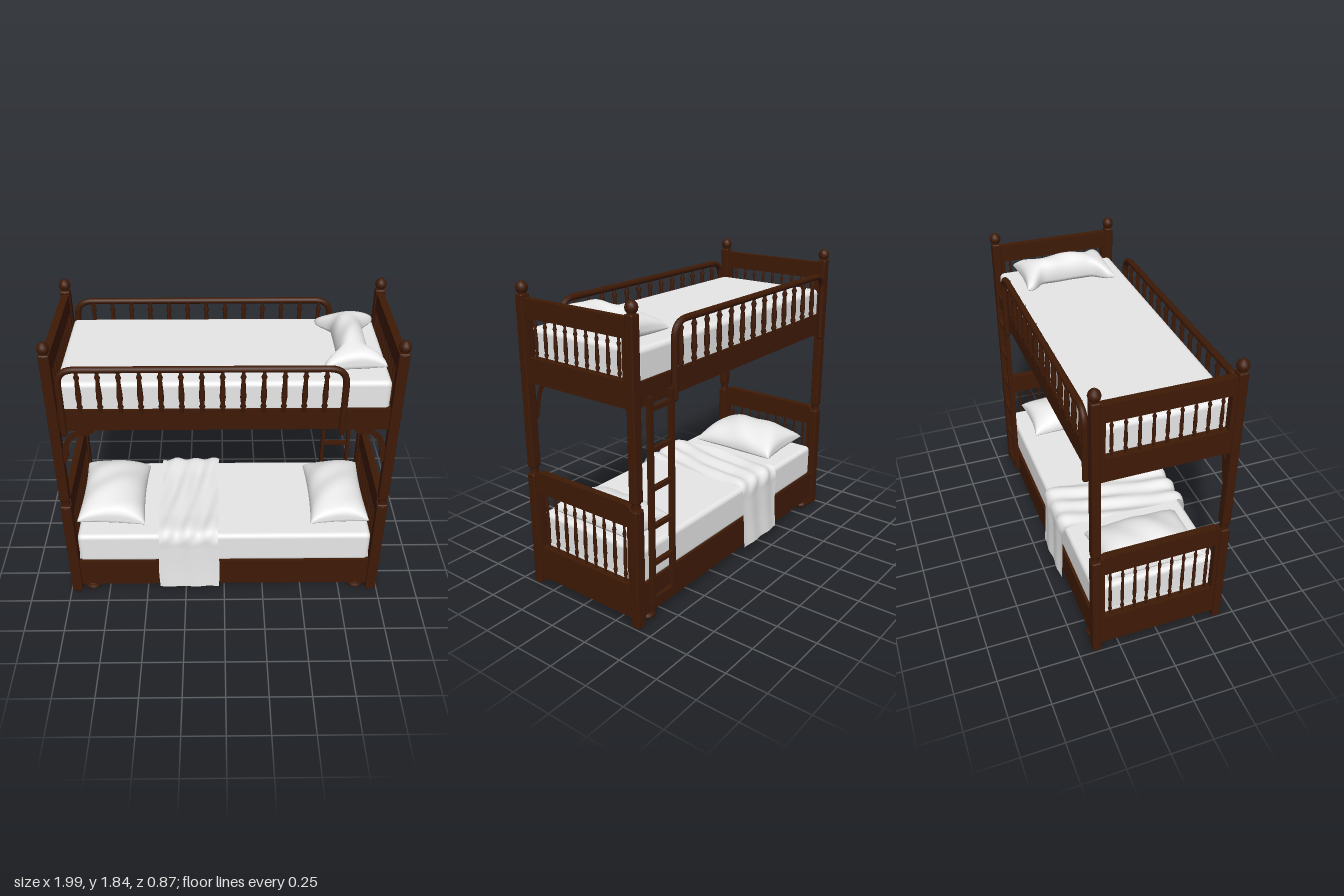
import * as THREE from 'three';
import { RoundedBoxGeometry } from 'three/addons/geometries/RoundedBoxGeometry.js';

const V = (x, y, z) => new THREE.Vector3(x, y, z);

export function createModel() {
  const root = new THREE.Group();
  const wood = new THREE.MeshStandardMaterial({ color: 0x3f1a06 });
  wood.name = 'dark wood';
  const linen = new THREE.MeshStandardMaterial({ color: 0xf2f2f2, side: THREE.DoubleSide });
  linen.name = 'white linen';
  const panel = new THREE.MeshStandardMaterial({ color: 0x5c4a49 });
  panel.name = 'bed base panel';

  const add = (name, geo, mat, x = 0, y = 0, z = 0, parent = root) => {
    const m = new THREE.Mesh(geo, mat);
    m.name = name;
    m.position.set(x, y, z);
    parent.add(m);
    return m;
  };
  const box = (name, mat, x0, x1, y0, y1, z0, z1) =>
    add(name, new THREE.BoxGeometry(x1 - x0, y1 - y0, z1 - z0), mat, (x0 + x1) / 2, (y0 + y1) / 2, (z0 + z1) / 2);
  const lathe = (pts, seg = 12) => new THREE.LatheGeometry(pts.map(([r, y]) => new THREE.Vector2(r, y)), seg);

  // Turned spindle of a given height and thickness
  const spindle = (h, r) => lathe([[0.6, 0], [0.6, 0.08], [1, 0.14], [0.65, 0.2], [0.95, 0.35], [0.85, 0.5],
    [0.6, 0.75], [0.95, 0.82], [0.55, 0.88], [0.6, 1]].map(([a, b]) => [a * r, b * h]), 8);

  // Corner posts: square shafts, turned neck, ball finial
  const neck = lathe([[0.03, 0], [0.03, 0.01], [0.021, 0.02], [0.027, 0.035], [0.021, 0.05], [0.03, 0.065], [0.03, 0.08]], 16);
  const finial = lathe([[0.028, 0], [0.02, 0.01], [0.031, 0.026], [0.035, 0.042], [0.029, 0.062], [0.016, 0.075], [0.001, 0.08]], 16);
  const bun = lathe([[0.001, 0], [0.035, 0], [0.05, 0.015], [0.05, 0.03], [0.035, 0.042], [0.042, 0.055], [0.001, 0.055]], 16);
  for (const sx of [-1, 1]) for (const sz of [-1, 1]) {
    const post = new THREE.Group();
    post.name = 'cornerPost';
    post.position.set(sx * 0.96, 0, sz * 0.388);
    root.add(post);
    add('lowerShaft', new RoundedBoxGeometry(0.066, 0.72, 0.054, 2, 0.008), wood, 0, 0.36, 0, post);
    add('neck', neck, wood, 0, 0.7, 0, post);
    add('upperShaft', new RoundedBoxGeometry(0.06, 1.01, 0.052, 2, 0.008), wood, 0, 1.265, 0, post);
    add('finial', finial, wood, 0, 1.76, 0, post);
    add('bunFoot', bun, wood, sx * 0.86, 0, sz * 0.362);
  }

  // End boards with spindle windows
  const endBoard = (name, x, y0, y1, w0, w1, chamfer, r) => {
    const s = new THREE.Shape();
    s.moveTo(-0.38, y0);
    s.lineTo(0.38, y0);
    s.lineTo(0.38, y1 - chamfer);
    s.lineTo(0.38 - chamfer * 2, y1);
    s.lineTo(-0.38 + chamfer * 2, y1);
    s.lineTo(-0.38, y1 - chamfer);
    s.closePath();
    const h = new THREE.Path();
    h.moveTo(-0.338, w0);
    h.lineTo(-0.338, w1);
    h.lineTo(0.338, w1);
    h.lineTo(0.338, w0);
    h.closePath();
    s.holes.push(h);
    const g = new THREE.ExtrudeGeometry(s, { depth: 0.044, bevelEnabled: false });
    g.translate(0, 0, -0.022);
    g.rotateY(Math.PI / 2);
    add(name, g, wood, x);
    const sp = spindle(w1 - w0 + 0.01, r);
    for (let i = 0; i < 9; i++) add('endSpindle', sp, wood, x, w0 - 0.005, -0.3 + i * 0.075);
  };
  for (const sx of [-1, 1]) {
    endBoard('lowerEndBoard', sx * 0.96, 0.05, 0.74, 0.255, 0.61, 0.025, 0.012);
    endBoard('upperEndBoard', sx * 0.96, 1.28, 1.75, 1.425, 1.645, 0, 0.012);
  }

  // Side rails
  for (const sz of [-1, 1]) {
    const a = sz * 0.37, b = sz * 0.4;
    box('lowerSideRail', wood, -0.94, 0.94, 0.05, 0.25, Math.min(a, b), Math.max(a, b));
    box('upperSideRail', wood, -0.94, 0.94, 1.28, 1.415, Math.min(a, b), Math.max(a, b));
  }

  // Mattresses
  const mattress = (name, y0, y1) =>
    add(name, new RoundedBoxGeometry(1.85, y1 - y0, 0.772, 4, 0.03), linen, 0, (y0 + y1) / 2, 0);
  mattress('lowerMattress', 0.235, 0.452);
  mattress('upperMattress', 1.39, 1.58);
  box('lowerBaseFilling', linen, -0.93, 0.93, 0.1, 0.26, -0.36, 0.36);
  box('upperBasePanel', panel, -0.94, 0.94, 1.35, 1.395, -0.37, 0.37);

  // Crossed slats under both beds
  for (const [y, n, w] of [[0.078, 18, 0.034], [1.338, 14, 0.012]]) {
    for (let i = 0; i < n; i++) {
      const x = -0.88 + i * 1.76 / (n - 1);
      box('crossSlat', wood, x - w / 2, x + w / 2, y, y + 0.014, -0.375, 0.375);
    }
    for (let i = 0; i < 7; i++) {
      const z = -0.33 + i * 0.11;
      box('longSlat', wood, -0.94, 0.94, y + 0.006, y + 0.022, z - w / 2, z + w / 2);
    }
  }

  // Guard rails: bent rail over turned spindles
  const guardSpindle = spindle(0.28, 0.018);
  for (const z of [0.405, -0.418]) {
    const path = new THREE.CurvePath();
    const L = -0.905, R = 0.665, T = 1.68, B = 1.265, c = 0.1;
    path.add(new THREE.LineCurve3(V(L, B, z), V(L, T - c, z)));
    path.add(new THREE.QuadraticBezierCurve3(V(L, T - c, z), V(L, T, z), V(L + c, T, z)));
    path.add(new THREE.LineCurve3(V(L + c, T, z), V(R - c, T, z)));
    path.add(new THREE.QuadraticBezierCurve3(V(R - c, T, z), V(R, T, z), V(R, T - c, z)));
    path.add(new THREE.LineCurve3(V(R, T - c, z), V(R, B, z)));
    add('guardRail', new THREE.TubeGeometry(path, 120, 0.019, 10), wood);
    for (const x of [L, R]) add('guardRailEnd', new THREE.SphereGeometry(0.019, 10, 8), wood, x, B, z);
    const step = z > 0 ? 0.113 : 0.116;
    for (let i = 0; i < 13; i++)
      add('guardSpindle', guardSpindle, wood, -0.8 + i * step, 1.4, Math.sign(z) * 0.402);
  }

  // Ladder on the back
  for (const x of [0.695, 0.87]) box('ladderUpright', wood, x - 0.011, x + 0.011, 0.11, 1.33, -0.432, -0.4);
  for (let i = 0; i < 6; i++)
    box('ladderRung', wood, 0.695, 0.87, 0.123 + i * 0.225, 0.147 + i * 0.225, -0.43, -0.404);

  // Curved brackets under the front rail
  for (const sx of [-1, 1]) {
    const s = new THREE.Shape();
    s.moveTo(0.935, 1.29);
    s.lineTo(0.935, 1.04);
    s.bezierCurveTo(0.9, 1.05, 0.905, 1.1, 0.895, 1.14);
    s.bezierCurveTo(0.88, 1.22, 0.85, 1.225, 0.83, 1.245);
    s.bezierCurveTo(0.8, 1.235, 0.74, 1.24, 0.73, 1.29);
    s.closePath();
    const h = new THREE.Path();
    h.moveTo(0.93, 1.14);
    h.quadraticCurveTo(0.91, 1.25, 0.84, 1.275);
    h.lineTo(0.93, 1.275);
    h.closePath();
    s.holes.push(h);
    const g = new THREE.ExtrudeGeometry(s, { depth: 0.03, bevelEnabled: false, curveSegments: 10 });
    if (sx < 0) g.rotateY(Math.PI);
    add('frontBracket', g, wood, 0, 0, sx < 0 ? 0.4 : 0.37);
  }

  // Pillows: two domed sheets meeting in a seam; waist narrows the middle
  const pillow = (name, x, y, w, d, up, down, tilt, waist) => {
    const group = new THREE.Group();
    group.name = name;
    group.position.set(x, y, 0);
    group.rotation.z = tilt;
    root.add(group);
    for (const sgn of [1, -1]) {
      const g = new THREE.PlaneGeometry(2, 2, 32, 32);
      g.rotateX(-sgn * Math.PI / 2);
      const p = g.attributes.position;
      for (let i = 0; i < p.count; i++) {
        const s = Math.sin(p.getX(i) * Math.PI / 2), t = Math.sin(p.getZ(i) * Math.PI / 2);
        const k = 1 - waist * (1 - THREE.MathUtils.smoothstep(Math.abs(t), 0.52, 0.88));
        const dome = Math.pow(Math.max(0, 1 - s * s), 0.5) * Math.pow(Math.max(0, 1 - t * t), 0.32);
        const crease = 1 + 0.05 * Math.sin(7 * t + 3 * s);
        p.setXYZ(i, s * w * k * (1 - 0.07 * (1 - t * t)), sgn * dome * crease * (sgn > 0 ? up : down),
          t * d * (1 - 0.07 * (1 - s * s)));
      }
      g.computeVertexNormals();
      add('pillowSheet', g, linen, 0, 0, 0, group);
    }
  };
  pillow('lowerLeftEndPillow', -0.715, 0.49, 0.215, 0.3, 0.135, 0.05, -0.06, 0);
  pillow('lowerRightEndPillow', 0.735, 0.485, 0.185, 0.3, 0.12, 0.05, 0.06, 0);
  pillow('upperPillow', 0.73, 1.615, 0.175, 0.295, 0.12, 0.05, 0.06, 0.45);

  // Blanket laid across the lower mattress and hanging on both sides
  const drape = new THREE.CatmullRomCurve3([[0.05, 0.428], [0.2, 0.418], [0.36, 0.412], [0.44, 0.408], [0.48, 0.38],
    [0.478, 0.2], [0.475, 0], [0.478, -0.2], [0.48, -0.38], [0.44, -0.408], [0.36, -0.412], [0.2, -0.418],
    [0.05, -0.428]].map(([y, z]) => V(0, y, z)));
  const cloth = new THREE.PlaneGeometry(1, 1, 24, 90);
  const cp = cloth.attributes.position;
  for (let i = 0; i < cp.count; i++) {
    const u = cp.getX(i), v = cp.getY(i) + 0.5;
    const q = drape.getPointAt(v), tan = drape.getTangentAt(v);
    const top = THREE.MathUtils.smoothstep(q.y, 0.4, 0.47);
    const fold = 0.004 * Math.sin(u * 14 + v * 5) + top * 0.009 * Math.sin(u * 18 - v * 17);
    cp.setXYZ(i, -0.225 + u * (0.38 + 0.01 * Math.sin(v * 19)), q.y - tan.z * fold, q.z + tan.y * fold);
  }
  cloth.computeVertexNormals();
  add('blanket', cloth, linen);

  return root;
}
